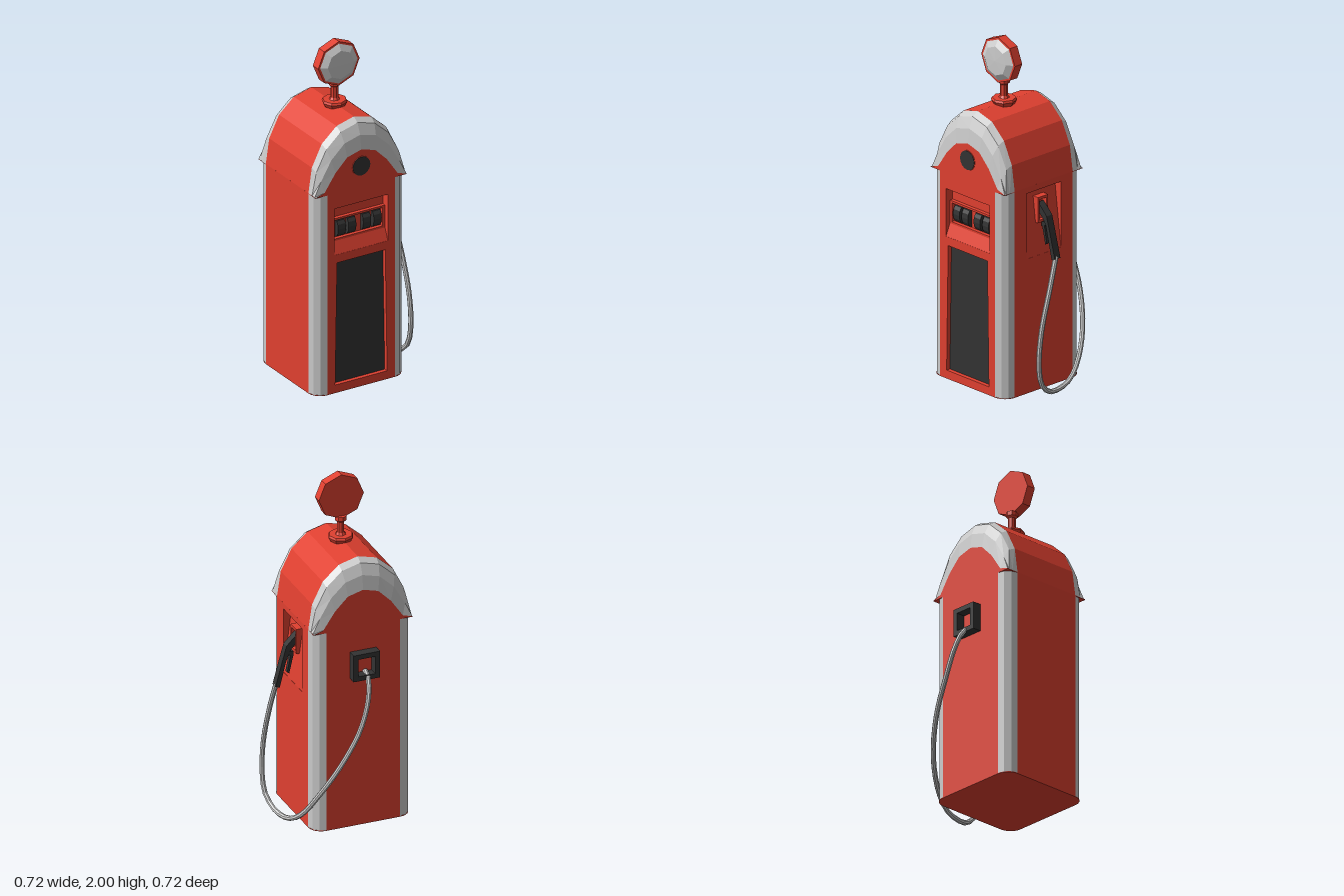
import * as THREE from 'three';

const mat = (color) => new THREE.MeshStandardMaterial({ color, flatShading: true, side: THREE.DoubleSide });
const RED = mat(0xe04030), GREY = mat(0xcccccc), BLACK = mat(0x333333);

const H = 0.2925;        // half width and half depth of the cabinet
const R = 0.075;         // corner radius
const IN = H - R;        // half width of the flat panels
const Y0 = 0.015, Y1 = 1.22;
const D = 0.05;          // panel thickness, also recess depth

function add(parent, name, geo, material, x = 0, y = 0, z = 0) {
  const m = new THREE.Mesh(geo, material);
  m.name = name;
  m.position.set(x, y, z);
  parent.add(m);
  return m;
}

const box = (w, h, d) => new THREE.BoxGeometry(w, h, d);
const poly = (pts) => new THREE.Shape(pts.map(([x, y]) => new THREE.Vector2(x, y)));
const rect = (w, a, b) => poly([[-w, a], [w, a], [w, b], [-w, b]]);

function extrude(shape, depth, holes = []) {
  shape.holes.push(...holes);
  return new THREE.ExtrudeGeometry(shape, { depth, bevelEnabled: false });
}

// Surface through rows of points
function loft(rows) {
  const n = rows[0].length, index = [];
  for (let i = 0; i < rows.length - 1; i++)
    for (let j = 0; j < n - 1; j++) {
      const a = i * n + j, b = a + n;
      index.push(a, b, a + 1, a + 1, b, b + 1);
    }
  const g = new THREE.BufferGeometry();
  g.setAttribute('position', new THREE.Float32BufferAttribute(rows.flat(2), 3));
  g.setIndex(index);
  g.computeVertexNormals();
  return g;
}

// Panel facing +z before turning, with optional recesses
function panel(parent, name, angle, holes = []) {
  const g = extrude(rect(IN, Y0, Y1), D, holes);
  g.translate(0, 0, H - D);
  add(parent, name, g, RED).rotation.y = angle;
}

// Sloping recess floor: side profile (depth, height) swept across the width
function ramp(parent, name, w, pts, angle) {
  const g = extrude(poly(pts), 2 * w);
  g.translate(0, 0, -w);
  g.rotateY(-Math.PI / 2);
  add(parent, name, g, RED).rotation.y = angle;
}

function buildCabinet(p) {
  const core = 2 * (H - D);
  add(p, 'cabinetCore', box(core, Y1 - Y0, core), RED, 0, (Y0 + Y1) / 2, 0);

  const lower = [[-0.167, 0.06], [0.167, 0.06], [0.155, 0.795], [-0.155, 0.795]];
  panel(p, 'frontPanel', 0, [rect(0.172, 0.845, 1.125), poly(lower)]);
  panel(p, 'leftPanel', Math.PI / 2, [rect(0.13, 0.8, 1.185)]);
  panel(p, 'backPanel', Math.PI);
  panel(p, 'rightPanel', -Math.PI / 2);
  add(p, 'lowerDoor', extrude(poly(lower), 0.025), BLACK, 0, 0, H - D);

  // Rounded corner columns
  for (let i = 0; i < 4; i++) {
    const sx = i < 2 ? 1 : -1, sz = i % 2 ? 1 : -1;
    const start = Math.atan2(sx, sz) - Math.PI / 4;
    add(p, 'cornerColumn', new THREE.CylinderGeometry(R, R, Y1 - Y0, 3, 1, false, start, Math.PI / 2),
      GREY, sx * IN, (Y0 + Y1) / 2, sz * IN);
  }

  // Floor with rounded corners
  const floor = new THREE.Shape();
  [[1, 1], [-1, 1], [-1, -1], [1, -1]].forEach(([x, y], i) =>
    floor.absarc(x * IN, y * IN, R, i * Math.PI / 2, (i + 1) * Math.PI / 2));
  const g = new THREE.ExtrudeGeometry(floor, { depth: 0.004, bevelEnabled: false, curveSegments: 3 });
  add(p, 'floor', g.rotateX(-Math.PI / 2), RED, 0, Y0 - 0.004, 0);
}

function buildDome(p) {
  const half = [[H, 0], [0.235, 0.018], [0.165, 0.12], [0.09, 0.195], [0, 0.22]];
  const inner = [...half, ...half.slice(0, 4).reverse().map(([x, y]) => [-x, y])];
  const outer = inner.map((_, k) => [H * Math.cos(k * Math.PI / 8), 0.39 * Math.sin(k * Math.PI / 8)]);
  // Section at angle a: 0 is the end face, 90 degrees the full arch
  const section = (a, s) => inner.map(([x, y], k) => [
    x + (outer[k][0] - x) * Math.sin(a),
    Y1 + y + (outer[k][1] - y) * Math.sin(a),
    s * (IN + R * Math.cos(a))]);

  add(p, 'domeVault', loft([section(Math.PI / 2, -1), section(Math.PI / 2, 1)]), RED);
  for (const s of [1, -1]) {
    const rows = [0, 1, 2, 3].map((i) => section(i * Math.PI / 6, s));
    if (s > 0) rows.reverse();
    add(p, 'domeTrim', loft(rows), GREY);
    const face = new THREE.ShapeGeometry(poly(inner));
    add(p, 'domeEndFace', face, RED, 0, Y1, s * H).rotation.y = s > 0 ? 0 : Math.PI;
  }
  add(p, 'domeBase', box(2 * H, 0.003, 2 * H), RED, 0, Y1 - 0.001, 0);

  // Round badge on the front
  const disc = (r, d) => new THREE.CylinderGeometry(r, r, d, 16).rotateX(Math.PI / 2);
  add(p, 'badgeRim', disc(0.058, 0.012), RED, 0, 1.342, H - 0.003);
  add(p, 'badge', disc(0.056, 0.004), BLACK, 0, 1.342, H + 0.003);
}

function buildDisplay(p) {
  const back = H - D;
  ramp(p, 'displaySill', 0.172, [[back, 0.845], [H - 0.001, 0.845], [back + 0.02, 0.915], [back, 0.915]], 0);
  add(p, 'displayFrame', extrude(rect(0.17, 0.915, 1.05), 0.022, [rect(0.155, 0.927, 1.038)]), RED, 0, 0, back);
  for (const x of [-0.111, -0.044, 0.051, 0.119]) {
    const drum = new THREE.CylinderGeometry(0.053, 0.053, 0.05, 12).rotateZ(Math.PI / 2);
    drum.scale(1, 1, 0.6);
    add(p, 'counterDrum', drum, BLACK, x, 0.983, back);
  }
}

function buildHolder(p) {
  const back = H - D;
  ramp(p, 'holderRecessFloor', 0.13, [[back, 0.8], [H - 0.001, 0.8], [back, 1.185]], Math.PI / 2);
  const frame = extrude(rect(0.038, 0.985, 1.135), 0.045, [rect(0.026, 1.0, 1.12)]);
  add(p, 'nozzleHolder', frame, RED, back, 0, 0).rotation.y = Math.PI / 2;
}

function buildGlobe(p) {
  const lathe = (pts, n) => new THREE.LatheGeometry(pts.map(([r, y]) => new THREE.Vector2(r, y)), n);
  const z = 0.02;
  add(p, 'globeStand', lathe([[0, 1.6], [0.058, 1.6], [0.072, 1.625], [0.066, 1.637], [0.03, 1.637], [0.021, 1.65],
    [0.021, 1.715], [0.033, 1.725], [0.033, 1.75], [0, 1.75]], 8), RED, 0, 0, z);
  const rim = lathe([[0, 0], [0.133, 0], [0.133, 0.055], [0.12, 0.055], [0, 0.05]], 8).rotateX(Math.PI / 2);
  add(p, 'globeRim', rim, RED, 0, 1.867, 0.01);
  const lens = lathe([[0.122, 0.054], [0.085, 0.077], [0, 0.08]], 8).rotateX(Math.PI / 2);
  add(p, 'globeLens', lens, GREY, 0, 1.867, 0.01);
}

function buildNozzle(p) {
  const part = (name, pts, w) => {
    const g = extrude(poly(pts), w);
    add(p, name, g, BLACK, 0, 0, 0.07 - w / 2);
  };
  part('nozzleBody', [[0.19, 1.06], [0.2, 1.1], [0.23, 1.075], [0.27, 1.035], [0.297, 0.94], [0.335, 0.8],
    [0.31, 0.79], [0.283, 0.9], [0.262, 0.985], [0.235, 1.02]], 0.042);
  part('nozzleGuard', [[0.225, 0.99], [0.262, 1.0], [0.283, 0.93], [0.273, 0.93], [0.255, 0.975], [0.225, 0.965]], 0.03);
  part('nozzleTrigger', [[0.225, 0.97], [0.243, 0.97], [0.262, 0.87], [0.25, 0.862]], 0.024);
}

function buildHose(p) {
  const path = new THREE.CatmullRomCurve3([
    [0.322, 0.81, 0.07], [0.335, 0.65, 0.125], [0.343, 0.4, 0.2], [0.343, 0.2, 0.217], [0.338, 0.09, 0.19],
    [0.322, 0.03, 0.12], [0.31, 0.016, 0.06], [0.293, 0.035, -0.05], [0.26, 0.1, -0.145], [0.2, 0.25, -0.245],
    [0.1, 0.45, -0.32], [0, 0.65, -0.342], [-0.055, 0.82, -0.325], [-0.075, 0.92, -0.28], [-0.077, 0.95, -0.225],
  ].map((q) => new THREE.Vector3(...q)));
  add(p, 'hose', new THREE.TubeGeometry(path, 40, 0.0145, 8), GREY);
}

export function createModel() {
  const model = new THREE.Group();
  model.name = 'fuelPump';
  const cabinet = new THREE.Group();
  cabinet.name = 'cabinet';
  cabinet.position.set(-0.0675, 0, 0.07);
  model.add(cabinet);

  buildCabinet(cabinet);
  buildDome(cabinet);
  buildDisplay(cabinet);
  buildHolder(cabinet);
  buildGlobe(cabinet);

  // Hollow hose socket on the back
  add(cabinet, 'hoseSocket', extrude(rect(0.078, 0.915, 1.075), 0.053, [rect(0.05, 0.943, 1.047)]),
    BLACK, 0, 0, -H - 0.053);

  buildNozzle(model);
  buildHose(model);
  return model;
}
